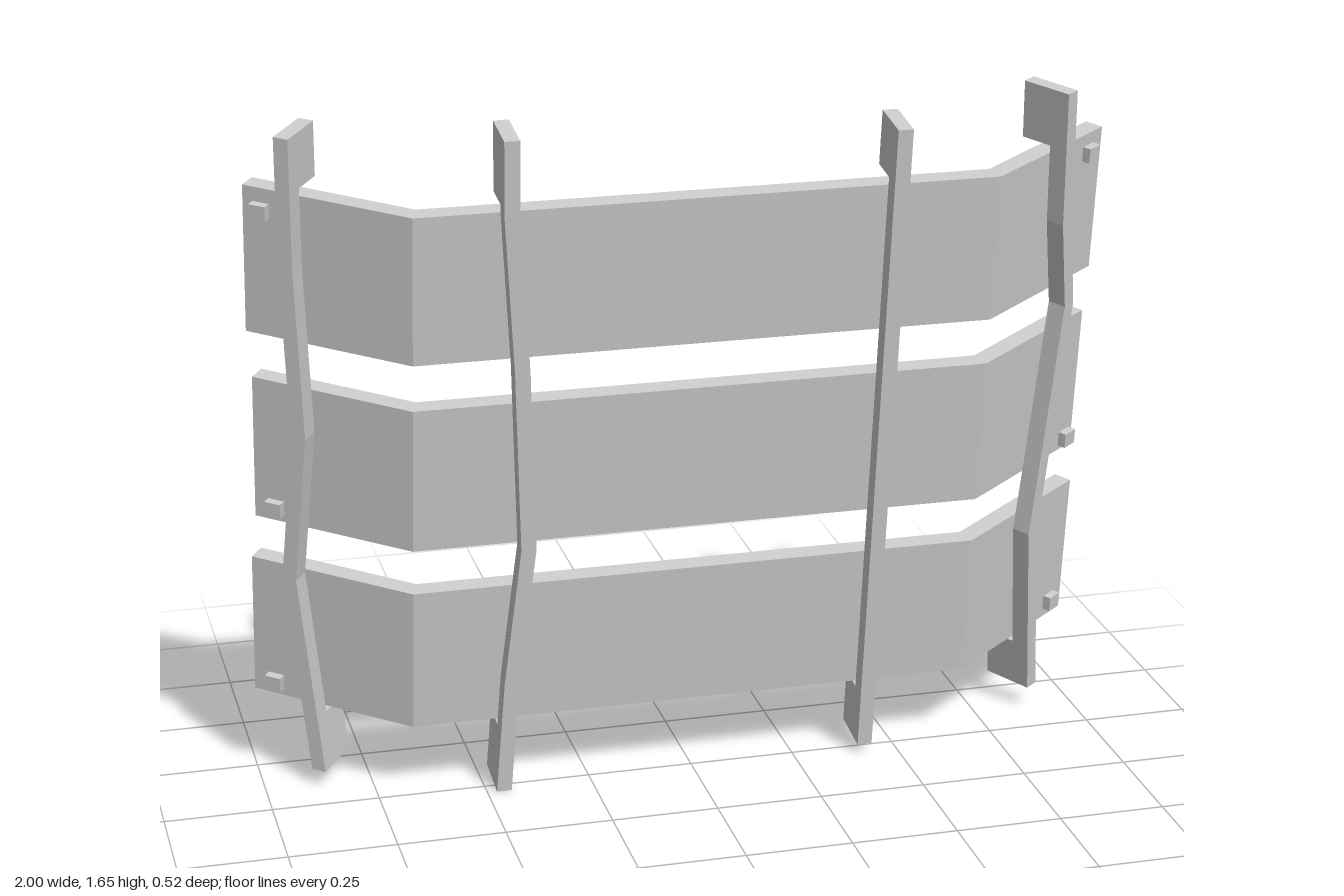
import * as THREE from 'three';

const LEAN = THREE.MathUtils.degToRad(8);
const FOLD = THREE.MathUtils.degToRad(36);
const CORNER = 0.667;       // x where the planks fold back
const FRONT = -0.01;        // z of the planks' front face
const THICK = 0.045;

const material = new THREE.MeshStandardMaterial({ color: 0xcccccc, flatShading: true });

function addMesh(parent, name, geometry) {
  const mesh = new THREE.Mesh(geometry, material);
  mesh.name = name;
  parent.add(mesh);
  return mesh;
}

// Sideways offset at height y along a list of [y, offset] bends
function offsetAt(bends, y) {
  for (let i = 1; i < bends.length; i++) {
    const [y0, a] = bends[i - 1], [y1, b] = bends[i];
    if (y <= y1 || i === bends.length - 1) return a + (b - a) * (y - y0) / (y1 - y0);
  }
}

// Box whose rows sit at the given heights and follow the bends sideways
function bentBar(levels, bends, width, zBack, zFront) {
  const rows = levels.length - 1;
  const g = new THREE.BoxGeometry(width, 1, zFront - zBack, 1, rows, 1);
  g.translate(0, 0.5, (zBack + zFront) / 2);
  const p = g.attributes.position;
  for (let i = 0; i < p.count; i++) {
    const y = levels[Math.round(p.getY(i) * rows)];
    p.setXYZ(i, p.getX(i) + offsetAt(bends, y), y, p.getZ(i));
  }
  g.computeVertexNormals();
  return g;
}

// Upright in front of the planks, hooked backwards above and below them
function addPost(parent, name, bends) {
  const post = new THREE.Group();
  post.name = name;
  const bottom = bends[0][0], top = bends[bends.length - 1][0];
  addMesh(post, 'upright', bentBar(bends.map(b => b[0]), bends, 0.035, 0, THICK));
  addMesh(post, 'bottomHook', bentBar([bottom, 0.168], bends, 0.035, -0.075, 0));
  addMesh(post, 'topHook', bentBar([1.49, top], bends, 0.035, -0.075, 0));
  parent.add(post);
}

// Folded plank outline seen from above, extruded upward
function plankGeometry(xRight, xLeft, height) {
  const c = Math.cos(FOLD), s = Math.sin(FOLD);
  const inner = CORNER - THICK * Math.tan(FOLD / 2);
  const wing = (x, side) => {
    const drop = (x - CORNER) * s / c - FRONT;
    return [[side * x, drop], [side * (x - THICK * s), drop + THICK * c]];
  };
  const [rf, rb] = wing(xRight, -1), [lf, lb] = wing(xLeft, 1);
  const outline = [
    rf, [-CORNER, -FRONT], [CORNER, -FRONT], lf,
    lb, [inner, THICK - FRONT], [-inner, THICK - FRONT], rb,
  ];
  const shape = new THREE.Shape(outline.map(([x, y]) => new THREE.Vector2(x, y)));
  const g = new THREE.ExtrudeGeometry(shape, { depth: height, bevelEnabled: false });
  return g.rotateX(-Math.PI / 2);
}

export function createModel() {
  const model = new THREE.Group();
  model.name = 'plankBarrier';
  const body = new THREE.Group();
  body.name = 'leaningBody';
  body.rotation.x = LEAN;
  model.add(body);

  // Three horizontal planks: base height, right end, left end
  const planks = [
    ['bottomPlank', 0.184, 1.0, 1.0],
    ['middlePlank', 0.65, 0.99, 0.985],
    ['topPlank', 1.117, 1.0, 0.993],
  ];
  for (const [name, y, xr, xl] of planks) {
    addMesh(body, name, plankGeometry(xr, xl, 0.355)).position.y = y;
  }

  // Two posts across the flat middle
  const middle = new THREE.Group();
  middle.name = 'middlePosts';
  middle.position.z = FRONT;
  body.add(middle);
  addPost(middle, 'rightMiddlePost',
    [[0.01, -0.46], [0.3, -0.445], [0.65, -0.41], [1.1, -0.43], [1.47, -0.457], [1.655, -0.46]]);
  addPost(middle, 'leftMiddlePost', [[0.03, 0.42], [1.62, 0.42]]);

  // A bent post and three pegs on each folded wing; distances run out from the fold
  const wings = [
    ['left', 1,
      [[0.045, 0.25], [0.5, 0.193], [1.08, 0.26], [1.3, 0.22], [1.63, 0.195]],
      [[0.225, 0.36], [0.68, 0.36], [1.425, 0.35]]],
    ['right', -1,
      [[0.03, 0.224], [0.53, 0.292], [0.9, 0.262], [1.3, 0.286], [1.62, 0.292]],
      [[0.22, 0.355], [0.685, 0.345], [1.42, 0.367]]],
  ];
  for (const [label, side, bends, pegs] of wings) {
    const wing = new THREE.Group();
    wing.name = label + 'Wing';
    wing.position.set(side * CORNER, 0, FRONT);
    wing.rotation.y = side * FOLD;
    body.add(wing);
    addPost(wing, label + 'WingPost', bends.map(([y, d]) => [y, side * d]));
    for (const [y, d] of pegs) {
      addMesh(wing, label + 'Peg', new THREE.BoxGeometry(0.04, 0.036, 0.02))
        .position.set(side * d, y, 0.01);
    }
  }
  return model;
}
